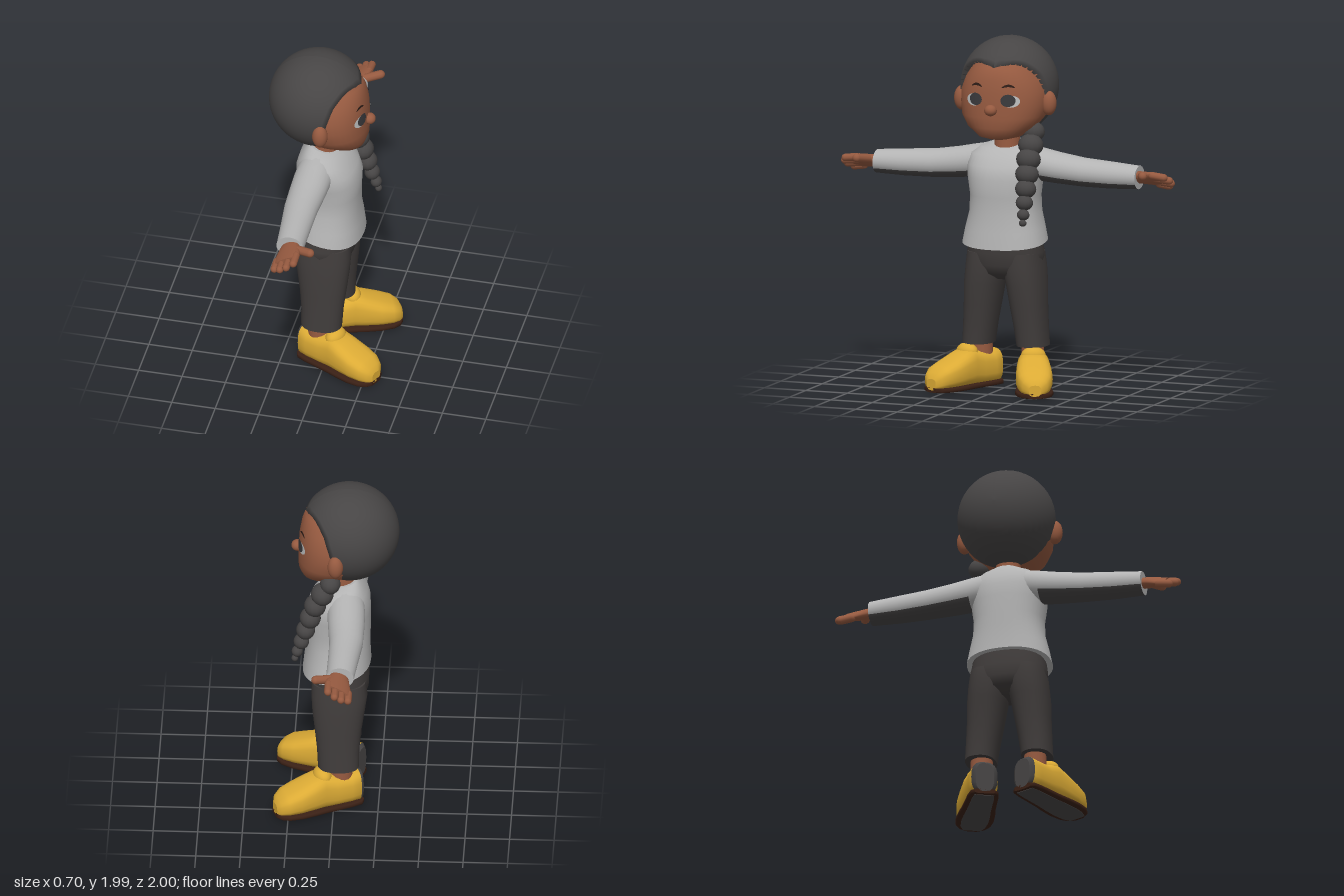
import * as THREE from 'three';

const mat = (name, color, extra = {}) => Object.assign(new THREE.MeshStandardMaterial({ color, ...extra }), { name });

// Skin surface through rings {c, u, v}: points are c + u*cos + v*sin, rounded-square when n > 2.
// pick(i, j) returns the material index of a face; i = -1 is the start cap.
function loft(rings, { seg = 24, n = 2, pick = () => 0 } = {}) {
  const pos = [], faces = [[], []];
  const pw = t => Math.sign(t) * Math.pow(Math.abs(t), 2 / n);
  const addRing = ({ c, u, v }) => {
    for (let j = 0; j < seg; j++) {
      const a = (j / seg) * Math.PI * 2, p = pw(Math.cos(a)), q = pw(Math.sin(a));
      for (let k = 0; k < 3; k++) pos.push(c[k] + u[k] * p + v[k] * q);
    }
  };
  rings.forEach(addRing);
  for (let i = 0; i < rings.length - 1; i++) for (let j = 0; j < seg; j++) {
    const a = i * seg + j, b = i * seg + (j + 1) % seg;
    faces[pick(i, j)].push(a, b, b + seg, a, b + seg, a + seg);
  }
  [rings[0], rings[rings.length - 1]].forEach((r, end) => {
    const s = pos.length / 3;
    addRing(r);
    pos.push(...r.c);
    for (let j = 0; j < seg; j++) {
      const a = s + j, b = s + (j + 1) % seg;
      faces[pick(end ? rings.length : -1, j)].push(s + seg, end ? a : b, end ? b : a);
    }
  });
  const g = new THREE.BufferGeometry();
  g.setAttribute('position', new THREE.Float32BufferAttribute(pos, 3));
  g.setIndex([...faces[0], ...faces[1]]);
  if (faces[1].length) {
    g.addGroup(0, faces[0].length, 0);
    g.addGroup(faces[0].length, faces[1].length, 1);
  }
  g.computeVertexNormals();
  return g;
}

// Upright ring: height y, centre x, half depth rx, half width rz, centre z, tilt of the front edge
const up = ([y, x, rx, rz, z = 0, tilt = 0]) => ({ c: [x, y, z], u: [0, 0, rz], v: [rx, tilt, 0] });
// Ring across a limb that runs along z
const across = ([z, x, y, rx, ry, lift = 0]) => ({ c: [x, y, z], u: [rx, lift, 0], v: [0, ry, 0] });
// Ring across a shoe that runs along x
const along = ([x, y0, y1, w]) => ({ c: [x, (y0 + y1) / 2, 0], u: [0, (y1 - y0) / 2, 0], v: [0, 0, w] });

const ball = (x, y, z, rx, ry, rz, w = 20, h = 14) =>
  new THREE.SphereGeometry(1, w, h).scale(rx, ry, rz).translate(x, y, z);

// Rounded finger between two points
function finger(a, b, r) {
  const A = new THREE.Vector3(...a), B = new THREE.Vector3(...b), d = B.clone().sub(A);
  const q = new THREE.Quaternion().setFromUnitVectors(new THREE.Vector3(0, 1, 0), d.clone().normalize());
  return new THREE.CapsuleGeometry(r, d.length(), 4, 10).applyQuaternion(q).translate(...A.add(B).multiplyScalar(0.5));
}

function mirrored(geo) {
  const g = geo.clone().scale(1, 1, -1), ix = g.index.array;
  for (let i = 0; i < ix.length; i += 3) [ix[i], ix[i + 1]] = [ix[i + 1], ix[i]];
  return g;
}

export function createModel() {
  const skin = mat('skin', 0x965a40), hair = mat('hair', 0x474545), shirt = mat('shirt', 0xb4b4b4);
  const cloth = mat('trousers', 0x403c3b), yellow = mat('shoe yellow', 0xdcab35), sole = mat('sole brown', 0x3a2015);
  const white = mat('eye white', 0xbcbebe), iris = mat('iris', 0x39393c), brow = mat('brow', 0x2c1c16);
  const model = new THREE.Group();
  const add = (name, geo, m) => {
    const mesh = new THREE.Mesh(geo, m);
    mesh.name = name;
    model.add(mesh);
  };
  const pair = (name, geo, m) => { add(name, geo, m); add(name, mirrored(geo), m); };

  // Head, facing +x
  const N = 2.2;
  const headRows = [
    [1.43, 0.06, 0.08, 0.06], [1.445, 0.06, 0.125, 0.12], [1.5, 0.03, 0.175, 0.195], [1.56, 0, 0.207, 0.238],
    [1.63, -0.02, 0.224, 0.25], [1.7, -0.03, 0.23, 0.25], [1.77, -0.04, 0.228, 0.225],
    [1.84, -0.04, 0.205, 0.18], [1.92, -0.05, 0.12, 0.11],
  ];
  add('head', loft(headRows.map(up), { seg: 40, n: N }), skin);
  add('nose', ball(0.213, 1.607, 0, 0.034, 0.032, 0.036), skin);
  pair('ear', ball(-0.012, 1.632, 0.262, 0.044, 0.07, 0.044), skin);
  add('neck', new THREE.CylinderGeometry(0.068, 0.075, 0.14, 20).translate(-0.045, 1.41, 0), skin);

  // Face plates laid on the head surface
  const faceX = (y, z) => {
    const i = headRows.findIndex((r, k) => y <= headRows[k + 1][0]);
    const a = headRows[i], b = headRows[i + 1], t = (y - a[0]) / (b[0] - a[0]);
    const [, c, rx, rz] = a.map((v, k) => v + (b[k] - v) * t);
    return c + rx * Math.pow(1 - Math.pow(Math.abs(z / rz), N), 1 / N);
  };
  const plate = (y, z, ry, rz, lift, arch = 0) => {
    const g = new THREE.RingGeometry(0.01, 1, 24, 4), p = g.attributes.position;
    for (let i = 0; i < p.count; i++) {
      const s = p.getX(i), Y = y + p.getY(i) * ry - arch * s * s, Z = z - s * rz;
      p.setXYZ(i, faceX(Y, Z) + lift, Y, Z);
    }
    g.computeVertexNormals();
    return g;
  };
  pair('eyeWhite', plate(1.66, 0.112, 0.034, 0.047, 0.003), white);
  pair('iris', plate(1.665, 0.097, 0.035, 0.041, 0.006), iris);
  pair('eyebrow', plate(1.748, 0.095, 0.007, 0.036, 0.004, 0.012), brow);

  // Hair cap: a ball opened along the hairline, angle measured from the back
  const hairline = [152, 145, 131, 119, 112, 106, 104, 104, 104];
  const cap = new THREE.SphereGeometry(1, 48, 20), cp = cap.attributes.position, cu = cap.attributes.uv;
  for (let i = 0; i < cp.count; i++) {
    const phi = cu.getX(i) * Math.PI * 2, t = 1 - cu.getY(i);
    const k = Math.abs(Math.PI - Math.abs(phi - Math.PI)) / Math.PI * 8, f = Math.min(7, Math.floor(k));
    const edge = (hairline[f] + (hairline[f + 1] - hairline[f]) * (k - f)) * Math.PI / 180;
    const row = Math.round(t * 20);
    // the last row turns inward to close the rim
    const th = edge * Math.min(1, row / 19), r = row === 20 ? 0.8 : 1;
    cp.setXYZ(i, -0.08 - Math.cos(th) * 0.28 * r, 1.71 + Math.sin(th) * Math.cos(phi) * 0.28 * r,
      Math.sin(th) * Math.sin(phi) * 0.276 * r);
  }
  cap.computeVertexNormals();
  hair.side = THREE.DoubleSide;
  add('hairCap', cap, hair);

  // Braid over one shoulder
  [[0.02, 1.47, 0.066], [0.065, 1.4, 0.073], [0.105, 1.325, 0.071], [0.132, 1.245, 0.068], [0.158, 1.165, 0.061],
    [0.182, 1.09, 0.05], [0.205, 1.025, 0.036], [0.218, 0.98, 0.022]].forEach(([x, y, r], i) =>
    add('braidKnot', ball(x, y, -0.182 - 0.002 * i, r * 0.88, r * 0.88, r, 14, 10), hair));

  // Shirt body with a hem lower at the front
  add('shirtBody', loft([
    [0.838, -0.01, 0.192, 0.242, 0, -0.03], [0.92, -0.013, 0.185, 0.225, 0, -0.02], [1.01, -0.02, 0.178, 0.203, 0, -0.01],
    [1.1, -0.02, 0.18, 0.198], [1.2, -0.018, 0.182, 0.212], [1.27, -0.03, 0.168, 0.219],
    [1.33, -0.045, 0.135, 0.208], [1.37, -0.05, 0.1, 0.155, 0, -0.01], [1.388, -0.05, 0.078, 0.085, 0, -0.02],
  ].map(up), { seg: 36, n: 2.3 }), shirt);

  // Sleeves with a dark underside panel
  pair('sleeve', loft([
    [0.12, -0.07, 1.285, 0.1, 0.095], [0.2, -0.07, 1.272, 0.106, 0.094], [0.3, -0.075, 1.257, 0.102, 0.088],
    [0.45, -0.08, 1.24, 0.094, 0.081], [0.62, -0.07, 1.235, 0.085, 0.076], [0.79, -0.06, 1.233, 0.078, 0.066],
  ].map(across), { seg: 24, pick: (i, j) => (i >= 1 && i < 6 && j >= 14 && j <= 21 ? 1 : 0) }), [shirt, hair]);

  // Hands, tilted with the thumb side up
  pair('palm', loft([
    [0.76, -0.06, 1.235, 0.045, 0.035, 0.01], [0.82, -0.055, 1.235, 0.06, 0.034, 0.02],
    [0.88, -0.055, 1.232, 0.072, 0.03, 0.035], [0.93, -0.055, 1.23, 0.068, 0.024, 0.035],
  ].map(across), { seg: 20 }), skin);
  [0.95, 0.975, 0.978, 0.96].forEach((z, i) => {
    const x = -0.112 + i * 0.037, y = 1.195 + i * 0.021;
    pair('finger', finger([x, y, 0.89], [x, y - 0.008, z], 0.022), skin);
  });
  pair('thumb', finger([-0.01, 1.25, 0.825], [0.072, 1.265, 0.862], 0.025), skin);

  // Trousers
  add('hips', loft([
    [0.625, -0.025, 0.08, 0.05], [0.66, -0.027, 0.14, 0.16], [0.71, -0.028, 0.162, 0.222],
    [0.78, -0.023, 0.168, 0.218], [0.87, -0.015, 0.16, 0.205],
  ].map(up), { seg: 32, n: 2.3 }), cloth);
  pair('trouserLeg', loft([
    [0.25, -0.025, 0.115, 0.087, 0.163], [0.36, -0.023, 0.119, 0.092, 0.152], [0.48, -0.022, 0.132, 0.1, 0.138],
    [0.6, -0.024, 0.148, 0.109, 0.126], [0.7, -0.028, 0.158, 0.113, 0.112], [0.78, -0.025, 0.15, 0.105, 0.11],
  ].map(up), { seg: 28, n: 2.3 }), cloth);
  pair('ankle', new THREE.CylinderGeometry(0.062, 0.066, 0.14, 18).translate(-0.04, 0.21, 0.155), skin);

  // Shoes, toes turned out
  const place = g => g.rotateY(-0.41).translate(-0.05, 0, 0.15);
  const rows = [[-0.105, 0.19, 0.052], [-0.085, 0.205, 0.075], [-0.03, 0.2, 0.084], [0.06, 0.205, 0.088], [0.13, 0.232, 0.092],
    [0.2, 0.205, 0.1], [0.28, 0.172, 0.104], [0.35, 0.145, 0.094], [0.39, 0.115, 0.07], [0.408, 0.08, 0.035]];
  pair('shoe', place(loft(rows.map(([x, h, w]) => along([x, 0.016, h, w])),
    { seg: 24, n: 2.8, pick: i => (i <= 0 ? 1 : 0) })), [yellow, hair]);
  pair('shoeTongue', place(ball(0.125, 0.205, 0, 0.05, 0.05, 0.07)), yellow);
  pair('shoeSole', place(loft(rows.map(([x, , w]) => along([x, 0.003, 0.032, w + 0.004])), { seg: 24, n: 5 })), sole);
  pair('solePad', place(loft(rows.slice(1, -1).map(([x, , w]) => along([x, 0, 0.009, w * 0.75])), { seg: 16, n: 6 })), hair);

  return model;
}
